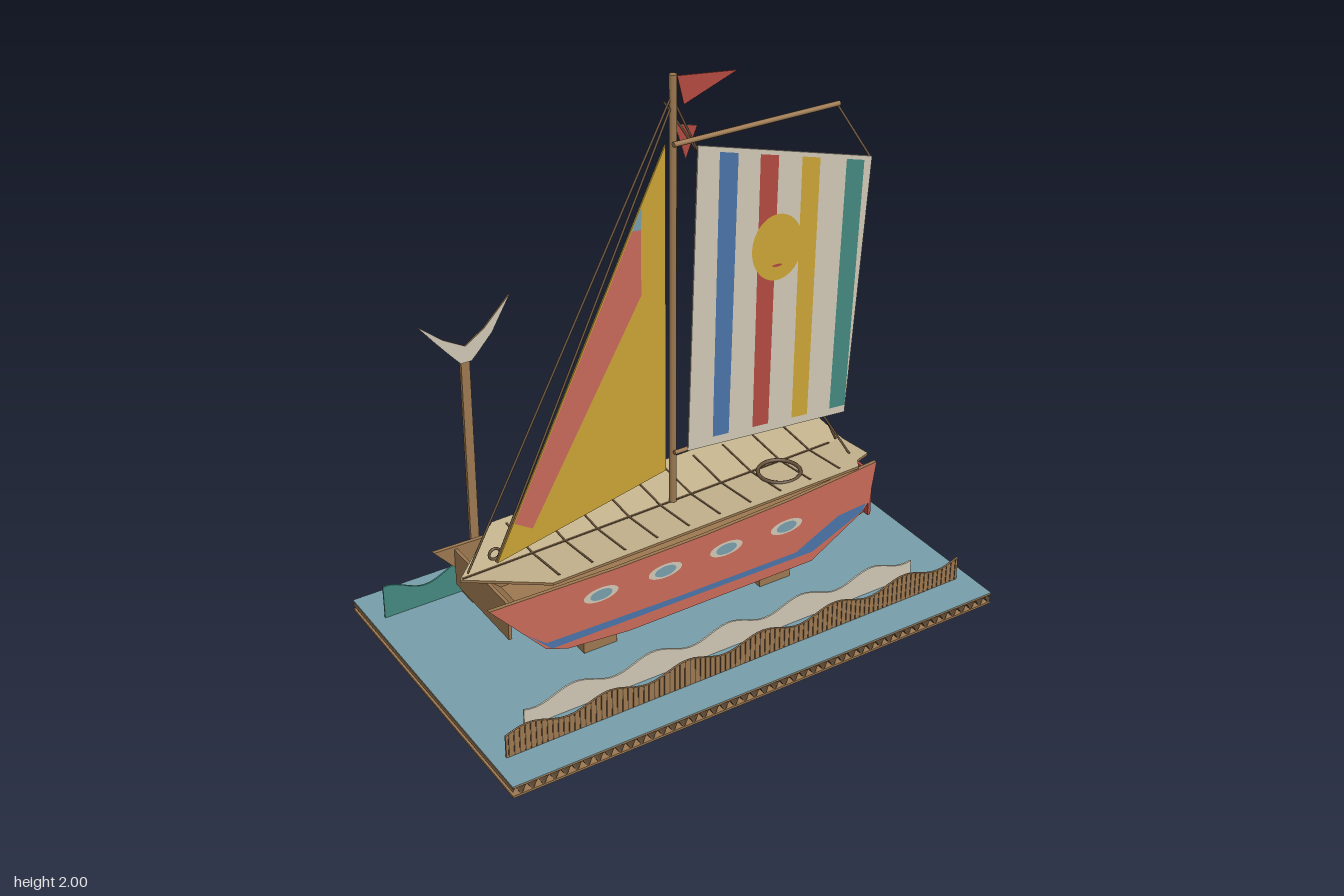
import * as THREE from 'three';

const material = (name, color) => {
  const m = new THREE.MeshStandardMaterial({ color, side: THREE.DoubleSide });
  m.name = name;
  return m;
};

export function createModel() {
  const model = new THREE.Group();
  const cardboard = material('cardboard', 0x9c7850);
  const wood = material('dark wood', 0x66503a);
  const coral = material('coral paint', 0xc96a59);
  const red = material('red paint', 0xb24a41);
  const yellow = material('yellow paint', 0xcba336);
  const cream = material('cream paper', 0xcfc7b4);
  const tan = material('deck tan', 0xc6b58e);
  const blue = material('blue paint', 0x4a72a6);
  const teal = material('teal paint', 0x43887f);
  const sea = material('sea blue', 0x779eab);

  const add = (name, geometry, mat, parent = model) => {
    const mesh = new THREE.Mesh(geometry, mat);
    mesh.name = name;
    parent.add(mesh);
    return mesh;
  };
  const group = (name) => {
    const g = new THREE.Group();
    g.name = name;
    model.add(g);
    return g;
  };
  const shapeOf = (pts) => new THREE.Shape(pts.map(([x, y]) => new THREE.Vector2(x, y)));
  const box = (name, w, h, d, x, y, z, mat, parent) =>
    add(name, new THREE.BoxGeometry(w, h, d).translate(x, y, z), mat, parent);
  // Flat sheet of cardboard in the xy plane, centred on z
  const plate = (name, pts, thick, z, mat, parent) => add(name,
    new THREE.ExtrudeGeometry(shapeOf(pts), { depth: thick, bevelEnabled: false }).translate(0, 0, z - thick / 2), mat, parent);
  // Paint layer on a sheet
  const skin = (name, shape, z, mat, parent) =>
    add(name, new THREE.ShapeGeometry(shape, 24).translate(0, 0, z), mat, parent);
  const ellipse = (x, y, rx, ry) => new THREE.Shape().absellipse(x, y, rx, ry, 0, Math.PI * 2);
  const rod = (name, a, b, r, mat, parent) => {
    const p = new THREE.Vector3(...a), q = new THREE.Vector3(...b), d = q.clone().sub(p);
    const mesh = add(name, new THREE.CylinderGeometry(r, r, d.length(), 10), mat, parent);
    mesh.position.copy(p).add(q).multiplyScalar(0.5);
    mesh.quaternion.setFromUnitVectors(new THREE.Vector3(0, 1, 0), d.normalize());
    return mesh;
  };

  // Corrugated base: two liners with a wavy sheet between
  const base = group('base');
  box('baseBottom', 1.92, 0.008, 1.17, 0, 0.004, 0, cardboard, base);
  box('baseTop', 1.92, 0.006, 1.17, 0, 0.04, 0, cardboard, base);
  box('seaSurface', 1.92, 0.002, 1.17, 0, 0.044, 0, sea, base);
  const flute = new THREE.PlaneGeometry(1.92, 1.17, 384, 1).rotateX(-Math.PI / 2);
  const fp = flute.attributes.position;
  for (let i = 0; i < fp.count; i++) fp.setY(i, 0.0225 + 0.0145 * Math.sin(fp.getX(i) * Math.PI * 50));
  flute.computeVertexNormals();
  add('baseFluting', flute, wood, base);

  // Standing waves
  const waveTop = (x, mid, amp, phase) => mid + amp * Math.cos((x - phase) * Math.PI * 2 / 0.3);
  const wavePoints = (x0, x1, mid, amp, phase) => {
    const pts = [[x0, 0.045]];
    for (let i = 0; i <= 72; i++) {
      const x = x0 + (x1 - x0) * i / 72;
      pts.push([x, waveTop(x, mid, amp, phase)]);
    }
    pts.push([x1, 0.045]);
    return pts;
  };
  const waves = group('waves');
  const frontWave = wavePoints(-0.91, 0.91, 0.132, 0.018, 0.07);
  plate('frontWave', frontWave, 0.006, 0.45, cardboard, waves);
  skin('frontWaveBack', shapeOf(frontWave), 0.446, blue, waves);
  for (let x = -0.9; x < 0.905; x += 0.02) {
    const h = waveTop(x, 0.132, 0.018, 0.07) - 0.05;
    box('waveFlute', 0.004, h, 0.002, x, 0.047 + h / 2, 0.454, wood, waves);
  }
  plate('middleWave', wavePoints(-0.79, 0.78, 0.13, 0.02, 0.0), 0.006, 0.35, cream, waves);
  plate('backWave', wavePoints(-0.91, 0.91, 0.15, 0.025, 0.0), 0.006, -0.43, teal, waves);

  // Hull sides, painted on the left-facing front only
  const hull = group('hull');
  const side = [[-0.82, 0.42], [-0.62, 0.195], [-0.54, 0.165], [-0.3, 0.143], [0.45, 0.148], [0.67, 0.28],
    [0.695, 0.31], [0.72, 0.468], [0.35, 0.435], [0, 0.418], [-0.35, 0.412]];
  for (const s of [1, -1]) plate('hullSide', side, 0.014, 0.195 * s, cardboard, hull);
  skin('hullPaint', shapeOf(side), 0.2035, coral, hull);
  skin('waterline', shapeOf([[-0.69, 0.278], [-0.62, 0.22], [-0.1, 0.21], [0.38, 0.21], [0.56, 0.3], [0.68, 0.31],
    [0.665, 0.282], [0.45, 0.187], [-0.6, 0.19]]), 0.205, blue, hull);
  for (const x of [-0.41, -0.16, 0.085, 0.335]) {
    skin('portholeFrame', ellipse(x, 0.335, 0.066, 0.027), 0.2055, cream, hull);
    skin('portholeGlass', ellipse(x, 0.335, 0.042, 0.02), 0.207, sea, hull);
  }
  // Bottom sheet, bow bulkhead and transom
  plate('hullBottom', [[-0.74, 0.33], [-0.58, 0.185], [0.43, 0.185], [0.69, 0.26], [0.69, 0.27], [0.43, 0.195],
    [-0.58, 0.195], [-0.74, 0.34]], 0.37, 0, cardboard, hull);
  box('bowBulkhead', 0.012, 0.14, 0.37, -0.74, 0.34, 0, cardboard, hull);
  box('transom', 0.012, 0.18, 0.4, 0.7, 0.342, 0, red, hull);
  for (const x of [-0.365, 0.355]) box('standBlock', 0.13, 0.1, 0.235, x, 0.095, 0, cardboard);

  // Deck, folded along its centre line and rising to the stern
  const deck = group('deck');
  const fold = (g) => {
    const p = g.attributes.position;
    for (let i = 0; i < p.count; i++) p.setY(i, p.getY(i) + 0.445 + 0.025 * p.getX(i) + 0.1 * Math.abs(p.getZ(i)));
    g.computeVertexNormals();
    return g;
  };
  for (const s of [1, -1]) {
    const half = shapeOf([[-0.82, 0], [-0.59, 0.21 * s], [0.635, 0.21 * s], [0.66, 0.17 * s], [0.72, 0.15 * s], [0.72, 0]]);
    add('deckHalf', fold(new THREE.ExtrudeGeometry(half, { depth: 0.01, bevelEnabled: false }).rotateX(Math.PI / 2)), [tan, cardboard], deck);
    for (let i = 0; i < 10; i++) {
      add('plankLine', fold(new THREE.BoxGeometry(0.007, 0.003, 0.18).translate(-0.55 + i * 0.125, 0.001, 0.09 * s)), wood, deck);
    }
  }
  add('deckCentreLine', fold(new THREE.BoxGeometry(1.47, 0.004, 0.008).translate(-0.075, 0.001, 0)), wood, deck);
  const coil = add('ropeCoil', new THREE.TorusGeometry(0.075, 0.007, 8, 32), wood, deck);
  coil.rotation.x = Math.PI / 2;
  coil.position.set(0.395, 0.468, 0.07);
  add('bowRing', new THREE.TorusGeometry(0.02, 0.005, 8, 20).translate(-0.69, 0.48, 0), wood, deck);

  // Mast, spars and rigging
  const rig = group('rigging');
  rod('mast', [0, 0.42, 0], [0, 2, 0], 0.013, cardboard, rig);
  rod('yard', [-0.01, 1.775, 0.02], [0.63, 1.775, 0.02], 0.009, cardboard, rig);
  rod('boom', [-0.01, 0.655, 0.025], [0.63, 0.655, 0.025], 0.008, cardboard, rig);
  const ropes = [
    [[0, 1.94, 0], [-0.79, 0.44, 0]],
    [[0, 1.91, 0], [-0.74, 0.53, 0.11]],
    [[0, 1.92, 0], [0.69, 0.47, 0]],
    [[0, 1.89, -0.05], [0.67, 0.85, -0.05]],
    [[0.62, 1.775, 0.02], [0.69, 1.61, 0.115]],
    [[0.58, 0.655, 0.025], [0.67, 0.47, 0.11]],
  ];
  for (const [a, b] of ropes) rod('rope', a, b, 0.004, wood, rig);
  plate('mastFlag', [[0.015, 1.992], [0.238, 1.965], [0.04, 1.892]], 0.004, 0, red, rig);

  // Bunting, red in front and cream behind
  for (const x of [0.08, 0.22, 0.35, 0.48, 0.615]) {
    const y = 1.89 - 1.55 * x;
    const flag = [[x - 0.042, y + 0.045], [x + 0.042, y + 0.02], [x, y - 0.085]];
    plate('pennant', flag, 0.003, -0.051, cream, rig);
    skin('pennantPaint', shapeOf(flag), -0.0485, red, rig);
  }

  // Sails are built flat, then sheared so that z follows x
  const shear = (g, offset, slope) => {
    const m = new THREE.Matrix4().set(1, 0, 0, 0, 0, 1, 0, 0, slope, 0, 1, offset, 0, 0, 0, 1);
    g.children.forEach((c) => c.geometry.applyMatrix4(m));
  };
  const mainSail = group('mainSail');
  const sailPoint = (u, v) => [
    (0.04 + 0.595 * u) * (1 - v) + (0.07 + 0.625 * u) * v,
    (0.65 + 0.005 * u) * (1 - v) + (1.76 - 0.15 * u) * v];
  plate('sailSheet', [[0, 0], [1, 0], [1, 1], [0, 1]].map((p) => sailPoint(...p)), 0.006, 0, cream, mainSail);
  const stripes = [[0.15, 0.12, blue], [0.4, 0.35, red], [0.65, 0.59, yellow], [0.895, 0.85, teal]];
  for (const z of [0.0042, -0.0042]) {
    for (const [low, high, mat] of stripes) {
      skin('sailStripe', shapeOf([sailPoint(low, 0.03), sailPoint(low + 0.1, 0.03), sailPoint(high + 0.105, 0.985),
        sailPoint(high, 0.985)]), z, mat, mainSail);
    }
    skin('sun', ellipse(0.355, 1.35, 0.092, 0.12), z * 1.4, yellow, mainSail);
  }
  skin('sunMouth', ellipse(0.355, 1.285, 0.018, 0.005), 0.0075, red, mainSail);
  shear(mainSail, 0.025, 0.135);

  const jib = group('jib');
  plate('jibSheet', [[-0.05, 1.79], [-0.74, 0.53], [-0.05, 0.605]], 0.006, 0, yellow, jib);
  for (const z of [0.0045, -0.0045]) {
    skin('jibStripe', shapeOf([[-0.67, 0.652], [-0.6, 0.605], [-0.15, 1.3], [-0.15, 1.53], [-0.185, 1.535]]), z, coral, jib);
    skin('jibTip', shapeOf([[-0.185, 1.535], [-0.15, 1.53], [-0.145, 1.6], [-0.152, 1.6]]), z, sea, jib);
  }
  shear(jib, 0.027, -0.12);

  // Tail fin on a post behind the boat
  const tail = group('tail');
  box('tailFoot', 0.065, 0.008, 0.155, -0.58, 0.049, -0.4225, cardboard, tail);
  box('tailPost', 0.032, 0.98, 0.014, -0.58, 0.54, -0.37, cardboard, tail);
  const fin = [[-0.75, 1.175], [-0.66, 1.1], [-0.58, 1.055], [-0.51, 1.1], [-0.41, 1.2], [-0.48, 1.08], [-0.535, 1.02],
    [-0.56, 0.995], [-0.6, 0.995], [-0.64, 1.04], [-0.69, 1.1]];
  plate('tailFin', fin, 0.006, -0.36, cardboard, tail);
  skin('tailFinPaint', shapeOf(fin), -0.356, cream, tail);

  return model;
}
